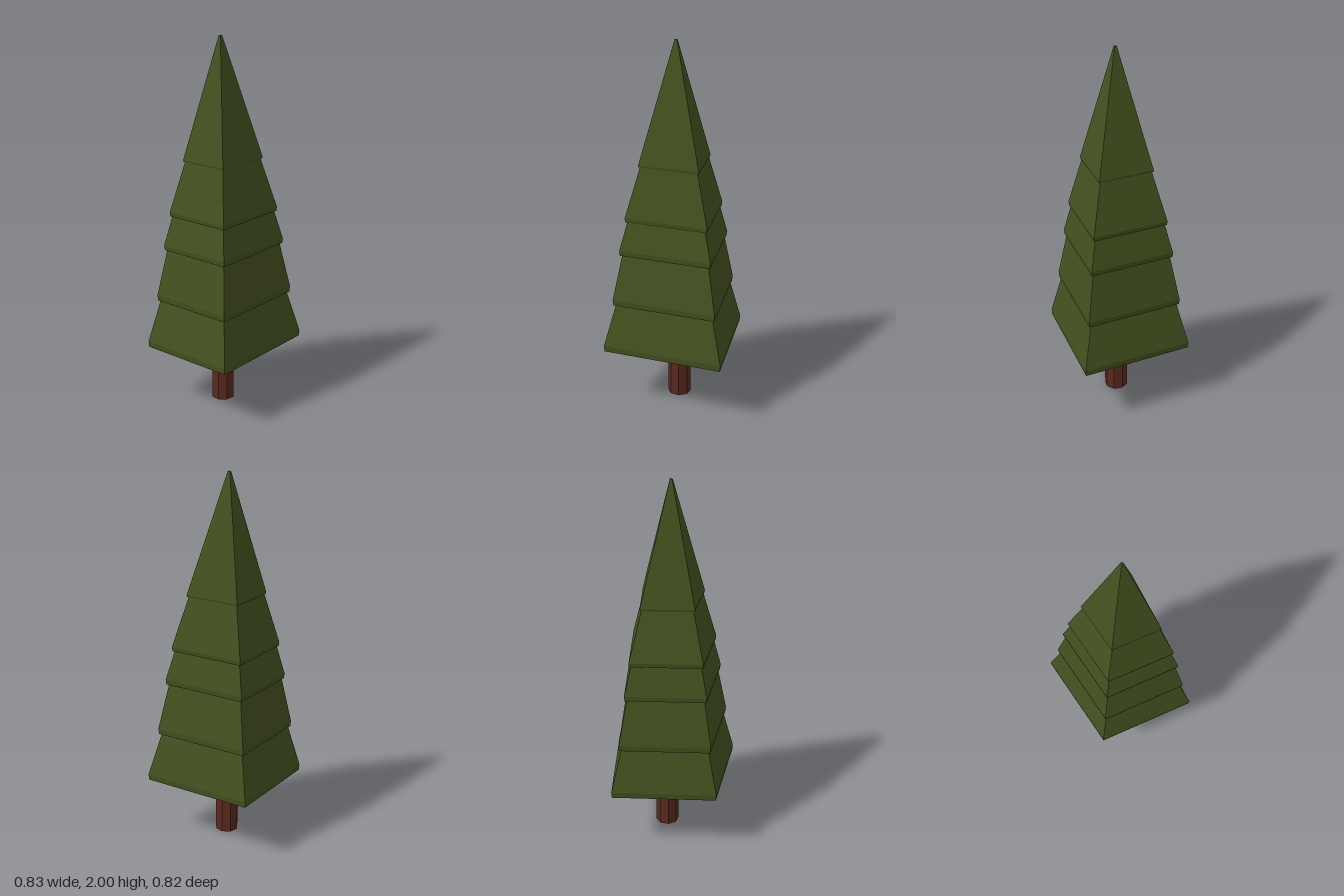
import * as THREE from 'three';

// Irregular four-sided outline of the crown: back, right-hand, front and left-hand corners
const OUTLINE = [[0.065, -0.425], [0.438, 0.073], [-0.142, 0.396], [-0.388, -0.094]];

// Rings from tip to hem: [height, scale of outline, centre x, centre z]
const RINGS = [[2, 0.02, -0.028, 0.01]];
// Tiers: [widest height, lip bottom height, scale, scale of the tier tucked beneath]
const TIERS = [
  [1.36, 1.35, 0.5, 0.475],
  [1.08, 1.058, 0.685, 0.65],
  [0.9, 0.873, 0.765, 0.725],
  [0.62, 0.59, 0.867, 0.825],
  [0.355, 0.323, 1, null],
];
for (const [y, lipY, scale, tucked] of TIERS) {
  const cx = -0.025, cz = 0.014;
  RINGS.push([y, scale, cx, cz], [lipY, scale - 0.008, cx, cz]);
  if (tucked) RINGS.push([lipY, tucked, cx, cz]);
}

// Hollow faceted crown, closed at the tip and open below
function crownGeometry() {
  const positions = [], index = [];
  for (const [y, s, cx, cz] of RINGS) {
    for (const [x, z] of OUTLINE) positions.push(cx + x * s, y, cz + z * s);
  }
  index.push(0, 3, 2, 0, 2, 1);
  for (let r = 0; r < RINGS.length - 1; r++) {
    for (let i = 0; i < 4; i++) {
      const a = r * 4 + i, b = r * 4 + (i + 1) % 4;
      index.push(a, b, b + 4, a, b + 4, a + 4);
    }
  }
  const indexed = new THREE.BufferGeometry();
  indexed.setAttribute('position', new THREE.Float32BufferAttribute(positions, 3));
  indexed.setIndex(index);
  const geometry = indexed.toNonIndexed();
  geometry.computeVertexNormals();
  return geometry;
}

export function createModel() {
  const tree = new THREE.Group();
  tree.name = 'pineTree';

  const crown = new THREE.Mesh(
    crownGeometry(),
    new THREE.MeshStandardMaterial({ color: 0x43511f, flatShading: true, side: THREE.DoubleSide }),
  );
  crown.name = 'crown';

  // Octagonal trunk reaching up inside the crown
  const height = 0.6;
  const trunk = new THREE.Mesh(
    new THREE.CylinderGeometry(0.063, 0.063, height, 8),
    new THREE.MeshStandardMaterial({ color: 0x5c281e, flatShading: true }),
  );
  trunk.position.set(-0.012, height / 2, 0.003);
  trunk.name = 'trunk';

  tree.add(crown, trunk);
  return tree;
}
